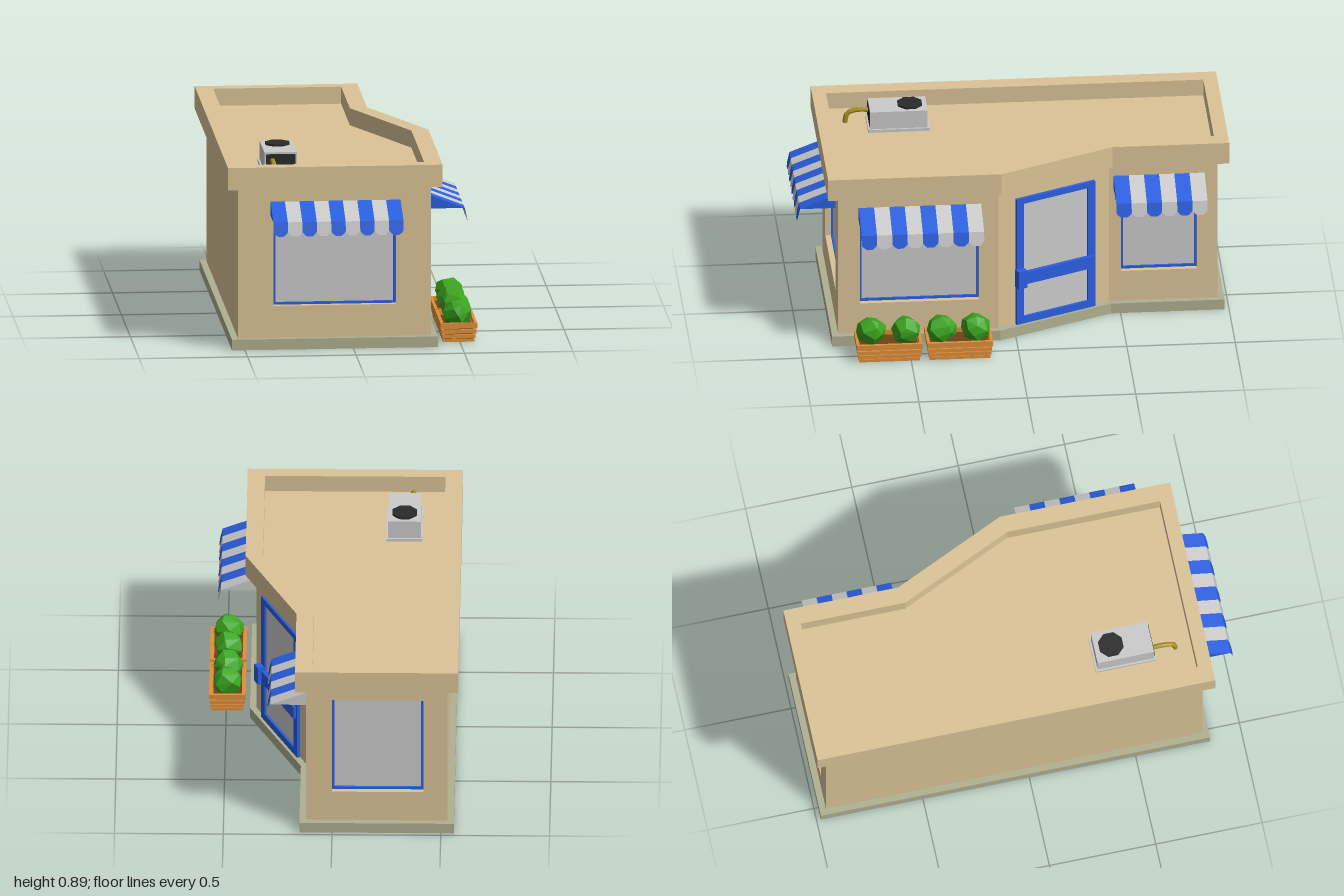
import * as THREE from 'three';
import { ConvexGeometry } from 'three/addons/geometries/ConvexGeometry.js';

const mat = (color, side = THREE.FrontSide) => new THREE.MeshStandardMaterial({ color, side, flatShading: true });
const TAN = mat(0xdcc497), STONE = mat(0xb0b092), BLUE = mat(0x2a5fe0), GREY = mat(0xcccccc);
const BLUE2 = mat(0x2a5fe0, THREE.DoubleSide), GREY2 = mat(0xcccccc, THREE.DoubleSide);
const WOOD = mat(0xe0903a), SOIL = mat(0x6e4218), LEAF = mat(0x3aa51e), DARK = mat(0x2a2a2a), BRASS = mat(0xa89020);

function add(parent, name, geo, material, x = 0, y = 0, z = 0) {
  const m = new THREE.Mesh(geo, material);
  m.name = name;
  m.position.set(x, y, z);
  parent.add(m);
  return m;
}
function group(parent, name, x = 0, y = 0, z = 0) {
  const g = new THREE.Group();
  g.name = name;
  g.position.set(x, y, z);
  parent.add(g);
  return g;
}
const box = (w, h, d) => new THREE.BoxGeometry(w, h, d);
const poly = (pts) => new THREE.Shape(pts.map(([x, y]) => new THREE.Vector2(x, y)));
const rect = (x0, y0, x1, y1) => poly([[x0, y0], [x1, y0], [x1, y1], [x0, y1]]);
const extrude = (shape, depth, holes = []) => {
  shape.holes.push(...holes);
  return new THREE.ExtrudeGeometry(shape, { depth, bevelEnabled: false });
};
const flat = (geo) => geo.rotateX(-Math.PI / 2);

// Floor plan [x, z], grown outwards by dx and dz
const plan = (dx, dz = dx) => [
  [-0.53 - dx, 0.82 + dz], [0.36 + dx, 0.82 + dz], [0.36 + dx, 0.08 - 0.2 * dx],
  [0.12 + dx, -0.45 - 0.2 * dx], [0.12 + dx, -0.95 - dz], [-0.53 - dx, -0.95 - dz],
];
const planShape = (...d) => poly(plan(...d).map(([x, z]) => [x, -z]));

// Recessed window: slim frame and glass set into the wall opening
function addWindow(wall, [u0, u1], y0, y1) {
  const g = group(wall, 'window');
  const f = 0.011;
  add(g, 'windowFrame', extrude(rect(u0, y0, u1, y1), 0.014, [rect(u0 + f, y0 + f, u1 - f, y1 - f)]), BLUE, 0, 0, -0.04);
  add(g, 'windowGlass', new THREE.PlaneGeometry(u1 - u0, y1 - y0), GREY, (u0 + u1) / 2, (y0 + y1) / 2, -0.036);
}

// Striped awning: sloping strips, scalloped valance and triangular ends
function addAwning(wall, u0, u1, count) {
  const g = group(wall, 'awning', u0, 0.625, 0);
  const w = (u1 - u0) / count, out = 0.164, rise = 0.064;
  for (let i = 0; i < count; i++) {
    const m = i % 2 ? GREY2 : BLUE2;
    const slope = new THREE.PlaneGeometry(w, Math.hypot(out, rise)).rotateX(-Math.atan2(out, rise));
    add(g, 'awningStripe', slope, m, (i + 0.5) * w, rise / 2, out / 2);
    const scallop = poly([[0, 0], [0, -0.045], [w * 0.1, -0.055], [w * 0.3, -0.066],
      [w * 0.7, -0.066], [w * 0.9, -0.055], [w, -0.045], [w, 0]]);
    add(g, 'awningScallop', new THREE.ShapeGeometry(scallop).rotateX(-0.22), m, i * w, 0, out);
  }
  for (const i of [0, count]) {
    const end = new THREE.ShapeGeometry(poly([[0, 0], [out, 0], [0, rise]])).rotateY(-Math.PI / 2);
    add(g, 'awningEnd', end, i && count % 2 === 0 ? GREY2 : BLUE2, i * w, 0, 0);
  }
}

// Glazed door with cross bar and handle
function addDoor(wall, u0, u1) {
  const g = group(wall, 'door');
  const a = u0 + 0.038, b = u1 - 0.038, mid = (u0 + u1) / 2;
  add(g, 'doorFrame', extrude(rect(u0, 0.05, u1, 0.69), 0.016,
    [rect(a, 0.085, b, 0.25), rect(a, 0.31, b, 0.662)]), BLUE);
  add(g, 'doorGlass', new THREE.PlaneGeometry(b - a, 0.58), GREY, mid, 0.374, 0.004);
  add(g, 'doorBar', box(u1 - u0 - 0.02, 0.06, 0.02), BLUE, mid, 0.285, 0.02);
  add(g, 'doorHandle', box(0.045, 0.088, 0.035), BLUE, u0 + 0.015, 0.29, 0.03);
}

// Faceted bush from seeded points on a squashed sphere
function bushGeometry(seed) {
  let s = seed;
  const rnd = () => (s = (s * 16807) % 2147483647) / 2147483647;
  const pts = [], n = 22;
  for (let i = 0; i < n; i++) {
    const y = 1 - (2 * i + 1) / n, r = Math.sqrt(1 - y * y), t = i * 2.4 + rnd() * 0.7;
    const k = 0.95 + rnd() * 0.14;
    pts.push(new THREE.Vector3(0.07 * k * r * Math.cos(t), 0.068 * k * y, 0.07 * k * r * Math.sin(t)));
  }
  return new ConvexGeometry(pts);
}

// Slatted planter that widens upwards, holding two bushes
function addPlanter(parent, z, seed) {
  const g = group(parent, 'planter', 0.495, 0, z);
  add(g, 'planterSoil', box(0.13, 0.07, 0.27), SOIL, 0, 0.036, 0);
  const slats = [[0, 0.014], [0.018, 0.017], [0.04, 0.018], [0.064, 0.026]];
  slats.forEach(([y, h], i) => {
    const x = 0.072 + 0.0042 * i, d = 0.14 + 0.004 * i, t = 0.014;
    add(g, 'planterSlat', flat(extrude(rect(-x, -d, x, d), h, [rect(t - x, t - d, x - t, d - t)])), WOOD, 0, y, 0);
  });
  [0.08, -0.08].forEach((dz, i) => add(g, 'bush', bushGeometry(seed + i * 977), LEAF, 0, 0.125, dz));
}

export function createModel() {
  const model = new THREE.Group();
  model.name = 'cornerShop';

  // Base slab, parapet and sunken roof
  add(model, 'baseSlab', flat(extrude(planShape(0.03), 0.05)), STONE);
  add(model, 'parapet', flat(extrude(planShape(0.05), 0.105, [planShape(-0.03, -0.015)])), TAN, 0, 0.755);
  add(model, 'roofDeck', flat(extrude(planShape(0), 0.025)), TAN, 0, 0.755);

  // Walls, following the floor plan from the front round to the left
  const features = [
    { win: [0.165, 0.73], awning: [0.15, 0.75, 9] },
    { win: [0.1, 0.65], awning: [0.095, 0.66, 8] },
    { door: [0.088, 0.5] },
    { win: [0.055, 0.405], awning: [0.02, 0.44, 6] },
    { win: [0.12, 0.54] },
    {},
  ];
  const names = ['frontWall', 'rightFrontWall', 'doorWall', 'rightRearWall', 'backWall', 'leftWall'];
  const corners = plan(0);
  features.forEach(({ win, awning, door }, i) => {
    const [ax, az] = corners[i], [bx, bz] = corners[(i + 1) % 6];
    const wall = group(model, names[i], ax, 0, az);
    wall.rotation.y = Math.atan2(az - bz, bx - ax);
    const length = Math.hypot(bx - ax, bz - az);
    const holes = win ? [rect(win[0], 0.2, win[1], 0.685)] : [];
    add(wall, 'wallPanel', extrude(rect(0, 0.05, length, 0.756), 0.04, holes), TAN, 0, 0, -0.04);
    if (win) addWindow(wall, win, 0.2, 0.685);
    if (awning) addAwning(wall, ...awning);
    if (door) addDoor(wall, ...door);
  });

  // Rooftop cooling unit with fan, grille and drain pipe
  const unit = group(model, 'coolingUnit', -0.317, 0.78, 0.49);
  add(unit, 'unitPlate', box(0.167, 0.014, 0.284), GREY, 0, 0.007, 0);
  add(unit, 'unitBody', box(0.15, 0.1, 0.265), GREY, 0, 0.05, 0);
  add(unit, 'unitGrille', box(0.136, 0.07, 0.006), DARK, 0, 0.056, 0.132);
  add(unit, 'unitFan', new THREE.CylinderGeometry(0.06, 0.06, 0.01, 8).rotateY(Math.PI / 8), DARK, 0, 0.104, -0.055);
  const pipe = new THREE.CatmullRomCurve3([[0.06, 0.12], [0.062, 0.19], [0.045, 0.23], [0, 0.24]]
    .map(([y, z]) => new THREE.Vector3(-0.038, y, z)));
  add(unit, 'drainPipe', new THREE.TubeGeometry(pipe, 8, 0.012, 8), BRASS);

  // Planters along the right side
  addPlanter(model, 0.6, 11);
  addPlanter(model, 0.275, 4021);
  return model;
}
